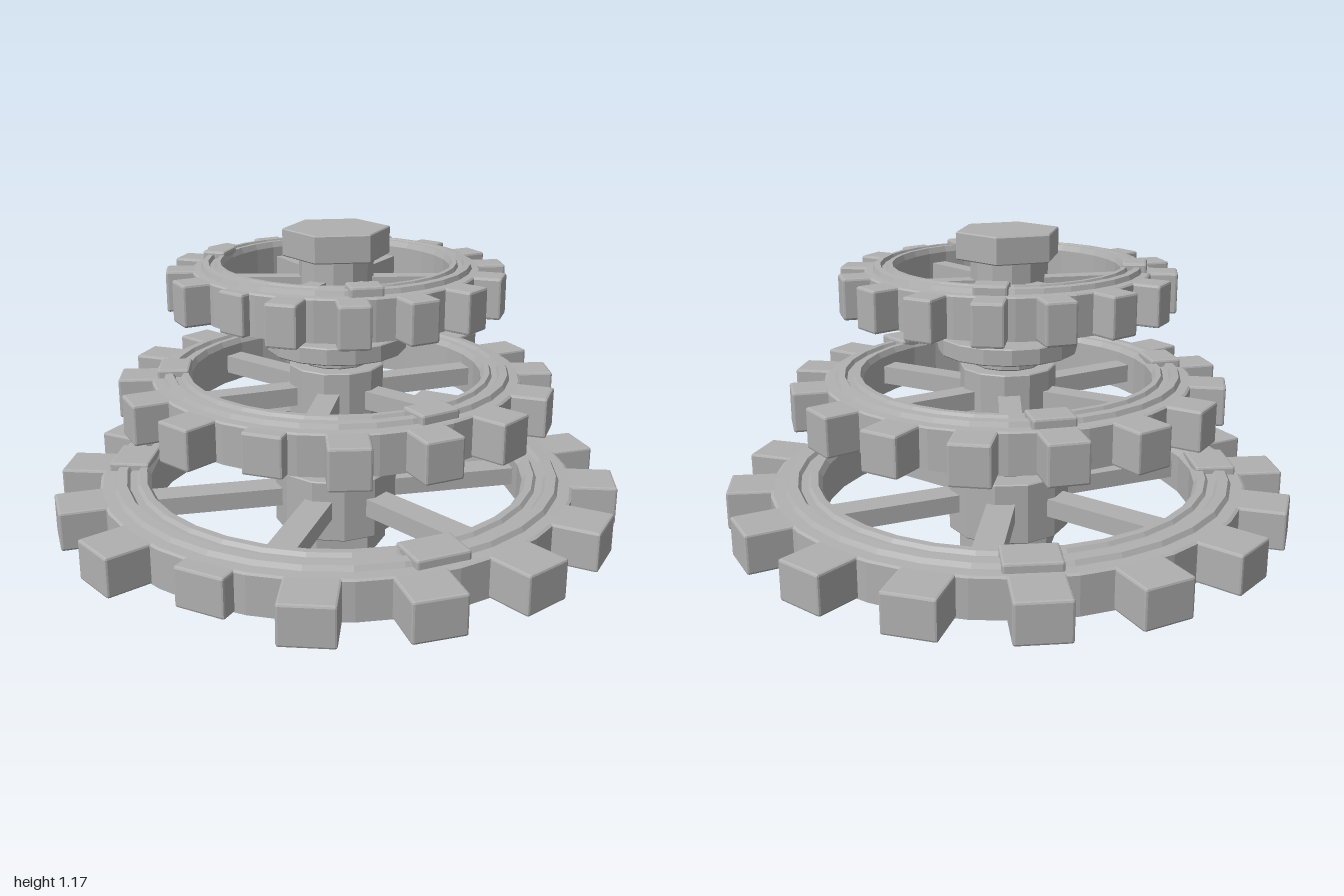
import * as THREE from 'three';
import { RoundedBoxGeometry } from 'three/addons/geometries/RoundedBoxGeometry.js';

const steel = new THREE.MeshStandardMaterial({ color: 0xb0b0b0 });
steel.name = 'grey steel';

const rad = THREE.MathUtils.degToRad;

// Gives every face its own normal for a faceted look
function faceted(geometry) {
  const g = geometry.index ? geometry.toNonIndexed() : geometry;
  g.computeVertexNormals();
  return g;
}

function part(name, geometry) {
  const mesh = new THREE.Mesh(faceted(geometry), steel);
  mesh.name = name;
  return mesh;
}

// Turned part from [radius, height] pairs
function turned(name, profile, sides) {
  return part(name, new THREE.LatheGeometry(profile.map(([r, y]) => new THREE.Vector2(r, y)), sides));
}

// Solid disc between two heights with a small chamfer
function disc(name, radius, y0, y1, sides, c = 0.004) {
  return turned(name, [[0, y0], [radius - c, y0], [radius, y0 + c], [radius, y1 - c], [radius - c, y1], [0, y1]], sides);
}

// Box lying along a radius from r0 to r1 at the given angle
function radialBox(name, angle, r0, r1, y0, y1, width, bevel = 0) {
  const size = [r1 - r0, y1 - y0, width];
  const mesh = part(name, bevel ? new RoundedBoxGeometry(...size, 1, bevel) : new THREE.BoxGeometry(...size));
  const a = rad(angle), r = (r0 + r1) / 2;
  mesh.position.set(r * Math.cos(a), (y0 + y1) / 2, r * Math.sin(a));
  mesh.rotation.y = -a;
  return mesh;
}

// One spoked gear; s scales it sideways only, turn is in degrees
function gear(name, y, s, turn) {
  const g = new THREE.Group();
  g.name = name;
  g.position.y = y;
  g.rotation.y = -rad(turn);

  // Rim with raised, grooved top
  const rim = [[0.67, 0], [0.85, 0], [0.85, 0.135], [0.84, 0.14], [0.80, 0.142], [0.79, 0.158], [0.755, 0.16],
    [0.745, 0.147], [0.72, 0.147], [0.71, 0.16], [0.685, 0.16], [0.67, 0.14], [0.67, 0]];
  g.add(turned('rim', rim.map(([r, h]) => [r * s, h]), 32));

  // Sixteen teeth, one of them broken off short
  for (let i = 0; i < 16; i++) {
    const tip = i === 3 ? 0.9 : 1;
    g.add(radialBox('tooth', -2.5 + i * 22.5, 0.81 * s, tip * s, 0, 0.14, 0.18 * s, 0.008));
  }
  for (let i = 0; i < 6; i++) {
    g.add(radialBox('spoke', -5 + i * 60, 0.1 * s, 0.69 * s, 0.04, 0.105, 0.1 * s));
  }
  // Raised lugs on the rim
  for (const a of [14, 133, 223]) g.add(radialBox('lug', a, 0.675 * s, 0.82 * s, 0.12, 0.172, 0.19 * s, 0.008));

  g.add(disc('hub', 0.222 * s, -0.045, 0.178, 12));
  return g;
}

export function createModel() {
  const model = new THREE.Group();
  model.name = 'gearStack';

  // Three gears, widest at the bottom
  model.add(gear('lowerGear', 0.14, 1, 0), gear('middleGear', 0.52, 0.76, -8), gear('upperGear', 0.9, 0.58, 12));

  // Axle, flanges and collars
  model.add(disc('axle', 0.11, 0.05, 1.1, 12));
  for (const y of [0.36, 0.75]) {
    model.add(disc('flange', 0.245, y, y + 0.06, 16));
    model.add(disc('flangeCollar', 0.145, y + 0.06, y + 0.1, 12));
    model.add(disc('lowerSleeve', 0.12, y - 0.05, y, 12));
  }

  // Hexagonal end nuts, corners on the x axis
  for (const [name, y] of [['bottomNut', 0], ['topNut', 1.077]]) {
    const nut = disc(name, 0.185, y, y + 0.095, 6);
    nut.rotation.y = rad(30);
    model.add(nut);
  }
  return model;
}
